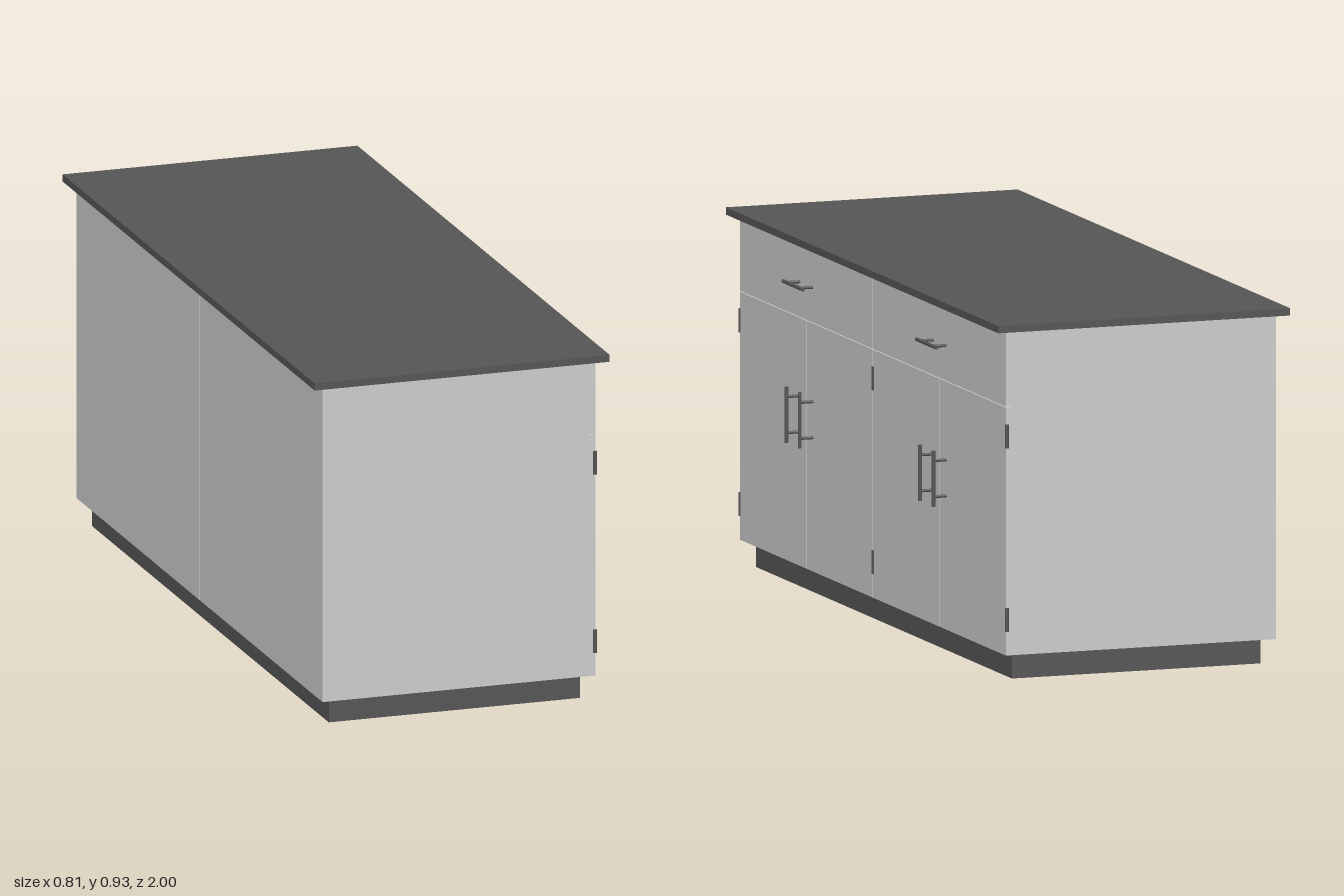
import * as THREE from 'three';

const grey = new THREE.MeshStandardMaterial({ color: 0xcccccc });
const dark = new THREE.MeshStandardMaterial({ color: 0x555555 });

// Box given by its limits on each axis
function box(name, material, [x0, x1], [y0, y1], [z0, z1]) {
  const mesh = new THREE.Mesh(new THREE.BoxGeometry(x1 - x0, y1 - y0, z1 - z0), material);
  mesh.name = name;
  mesh.position.set((x0 + x1) / 2, (y0 + y1) / 2, (z0 + z1) / 2);
  return mesh;
}

function rod(name, radius, length, x, y, z) {
  const mesh = new THREE.Mesh(new THREE.CylinderGeometry(radius, radius, length, 16), dark);
  mesh.name = name;
  mesh.position.set(x, y, z);
  return mesh;
}

// Bar handle standing on two posts; the bar runs along y
function barHandle(name, y, z) {
  const handle = new THREE.Group();
  handle.name = name;
  handle.add(rod('handleBar', 0.005, 0.146, 0.036, 0, 0));
  for (const s of [-1, 1]) {
    const post = rod('handlePost', 0.004, 0.038, 0.017, s * 0.047, 0);
    post.rotation.z = Math.PI / 2;
    handle.add(post);
  }
  handle.position.set(0.365, y, z);
  return handle;
}

// One cabinet: body, drawer, pair of doors, handles and hinges
function cabinet(name, side) {
  const group = new THREE.Group();
  group.name = name;
  const front = 0.365, panelBack = 0.347, gap = 0.001;
  const bottom = 0.067, top = 0.913, split = 0.715;
  const inner = 0.002, outer = 0.975, middle = 0.49;
  const span = (a, b) => (side > 0 ? [a, b] : [-b, -a]);

  group.add(box('cabinetBody', grey, [-0.377, panelBack], [bottom, top], span(inner, outer)));
  group.add(box('drawerFront', grey, [panelBack, front], [split + gap, top], span(inner, outer)));
  group.add(box('innerDoor', grey, [panelBack, front], [bottom, split - gap], span(inner, middle - gap)));
  group.add(box('outerDoor', grey, [panelBack, front], [bottom, split - gap], span(middle + gap, outer)));

  const drawerHandle = barHandle('drawerHandle', 0.808, side * middle);
  drawerHandle.rotation.x = Math.PI / 2;
  group.add(drawerHandle);
  for (const s of [-1, 1]) group.add(barHandle('doorHandle', 0.463, side * (middle + s * 0.049)));

  for (const y of [0.16, 0.639])
    for (const z of [0.002, 0.977]) group.add(rod('hinge', 0.005, 0.062, 0.363, y, side * z));
  return group;
}

export function createModel() {
  const model = new THREE.Group();
  model.name = 'kitchenIsland';
  model.add(box('plinth', dark, [-0.348, 0.335], [0, 0.067], [-0.94, 0.94]));
  model.add(cabinet('leftCabinet', 1), cabinet('rightCabinet', -1));
  model.add(box('countertop', dark, [-0.407, 0.395], [0.913, 0.932], [-1, 1]));
  return model;
}
